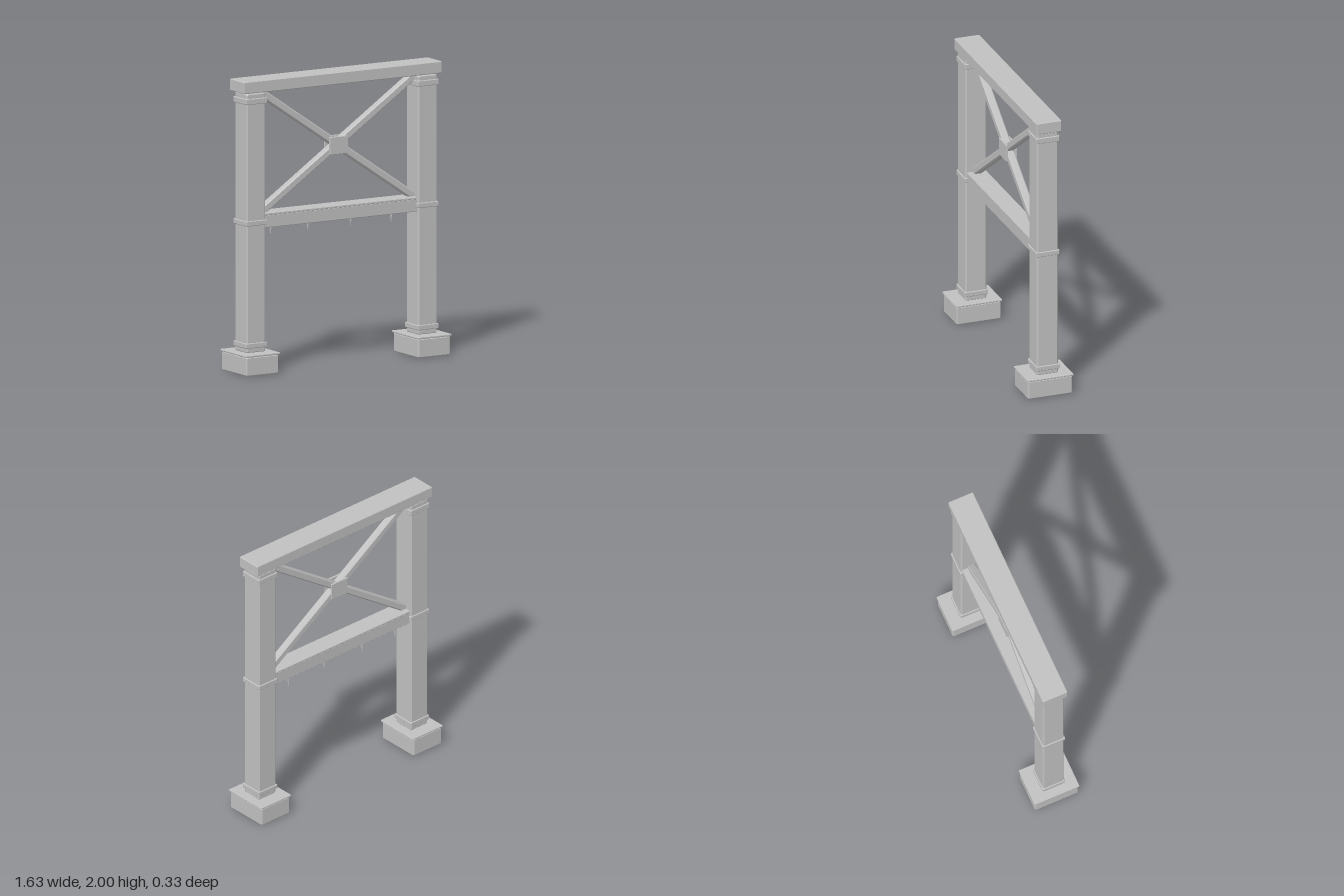
import * as THREE from 'three';

const steel = new THREE.MeshStandardMaterial({ color: 0xc0c0c0 });
steel.name = 'plain grey';

// Box w x h x d with all edges chamfered by c, centred on the origin
function chamferBox(w, h, d, c) {
  const x = w / 2 - c, y = h / 2 - c, k = c * 0.414;
  const shape = new THREE.Shape([
    [x - k, -y], [x, -y + k], [x, y - k], [x - k, y],
    [-x + k, y], [-x, y - k], [-x, -y + k], [-x + k, -y],
  ].map(([px, py]) => new THREE.Vector2(px, py)));
  const geo = new THREE.ExtrudeGeometry(shape, {
    depth: d - 2 * c, bevelEnabled: true, bevelSize: c, bevelThickness: c, bevelSegments: 1,
  });
  return geo.translate(0, 0, -(d / 2 - c));
}

function add(parent, name, geo, x, y, z) {
  const mesh = new THREE.Mesh(geo, steel);
  mesh.name = name;
  mesh.position.set(x, y, z);
  parent.add(mesh);
  return mesh;
}

// Chamfered block spanning y0..y1
function block(parent, name, w, y0, y1, d, c, x = 0) {
  return add(parent, name, chamferBox(w, y1 - y0, d, c), x, (y0 + y1) / 2, 0);
}

export function createModel() {
  const model = new THREE.Group();
  model.name = 'gantryFrame';

  // Two posts with footings and collars
  for (const side of [-1, 1]) {
    const post = new THREE.Group();
    post.name = side > 0 ? 'leftPost' : 'rightPost';
    post.position.x = side * 0.68;
    block(post, 'footing', 0.254, 0, 0.132, 0.32, 0.008);
    block(post, 'footingCap', 0.27, 0.13, 0.145, 0.332, 0.004);
    block(post, 'shaft', 0.152, 0.14, 1.915, 0.154, 0.009);
    for (const [y0, y1] of [[0.175, 0.21], [1.01, 1.045], [1.84, 1.88]]) {
      block(post, 'collar', 0.166, y0, y1, 0.168, 0.004);
    }
    model.add(post);
  }

  // Top beam
  block(model, 'topBeam', 1.57, 1.918, 2, 0.182, 0.005);

  // Lower beam with a thin flange
  block(model, 'lowerBeam', 1.24, 0.985, 1.072, 0.128, 0.004);
  block(model, 'lowerBeamFlange', 1.24, 1.07, 1.085, 0.136, 0.003);

  // Crossed braces with a joint plate on each face
  for (const side of [-1, 1]) {
    const brace = add(model, 'brace', chamferBox(1.47, 0.052, 0.056, 0.008), 0, 1.495, 0);
    brace.rotation.z = side * Math.atan2(0.41, 0.605);
    add(model, 'jointPlate', chamferBox(0.145, 0.12, 0.014, 0.003), 0, 1.49, side * 0.033);
  }

  // Spikes hanging under the lower beam
  const spikes = [[-0.49, 0.078], [-0.195, 0.074], [0.145, 0.072], [0.465, 0.084]];
  for (const [x, length] of spikes) {
    const cone = new THREE.ConeGeometry(0.014, length, 6).toNonIndexed();
    cone.computeVertexNormals();
    cone.rotateX(Math.PI);
    add(model, 'spike', cone, x, 0.987 - length / 2, -0.045);
  }

  return model;
}
